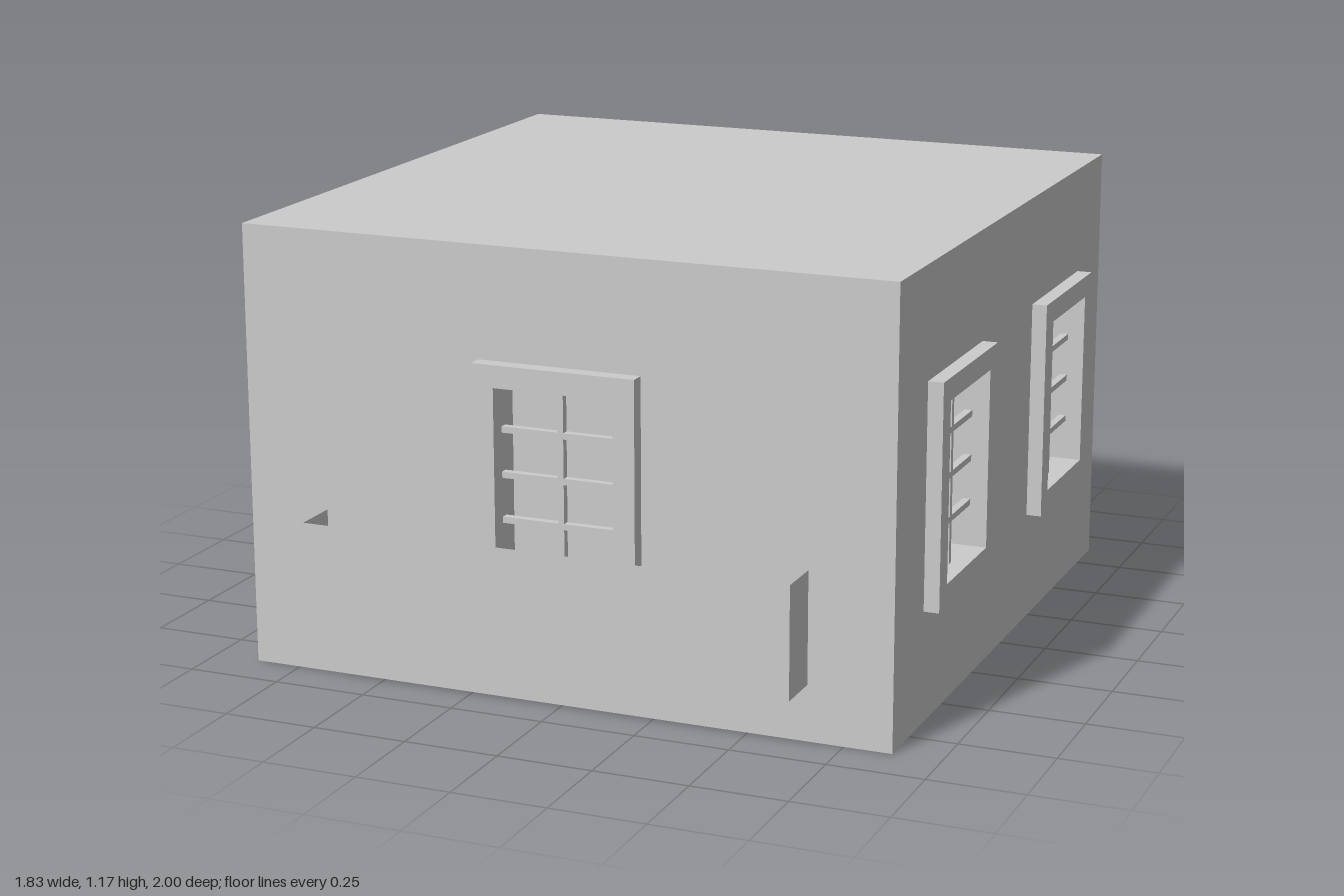
import * as THREE from 'three';

const HALF = 0.875, HEIGHT = 1.166;      // square block
const FRAME_W = 0.436, FRAME_H = 0.583;  // window surround
const OPEN_W = 0.32, OPEN_H = 0.467;     // window opening
const WINDOW_Y = 0.584, PROUD = 0.04, RECESS = 0.07;

const material = new THREE.MeshStandardMaterial({ color: 0xcccccc, side: THREE.DoubleSide });

function add(parent, name, geometry, x = 0, y = 0, z = 0) {
  const mesh = new THREE.Mesh(geometry, material);
  mesh.name = name;
  mesh.position.set(x, y, z);
  parent.add(mesh);
  return mesh;
}

// Rectangle outline centred on (x, y)
function rect(Type, w, h, x = 0, y = 0) {
  return new Type([[-1, -1], [1, -1], [1, 1], [-1, 1]].map(
    ([sx, sy]) => new THREE.Vector2(x + sx * w / 2, y + sy * h / 2)));
}

// Recessed window: surround, pane and glazing bars, with z = 0 on the wall face
function makeWindow() {
  const group = new THREE.Group();
  group.name = 'window';
  const outline = rect(THREE.Shape, FRAME_W, FRAME_H);
  outline.holes.push(rect(THREE.Path, OPEN_W, OPEN_H));
  add(group, 'windowFrame', new THREE.ExtrudeGeometry(outline,
    { depth: PROUD + RECESS, bevelEnabled: false }), 0, 0, -RECESS);
  add(group, 'windowPane', new THREE.PlaneGeometry(OPEN_W, OPEN_H), 0, 0, -RECESS);
  add(group, 'verticalBar', new THREE.BoxGeometry(0.016, OPEN_H, 0.02), 0, 0, -0.015);
  for (const i of [-1, 0, 1]) {
    add(group, 'horizontalBar', new THREE.BoxGeometry(OPEN_W, 0.016, 0.02), 0, i * OPEN_H / 4, -0.015);
  }
  return group;
}

// Open-topped balcony made of thin sheets
function makeBalcony() {
  const group = new THREE.Group();
  group.name = 'balcony';
  const w = 1.31, h = 0.292, d = 0.125, y = 0.146;
  add(group, 'balconyFront', new THREE.PlaneGeometry(w, h), 0, y + h / 2, d);
  add(group, 'balconyFloor', new THREE.PlaneGeometry(w, d), 0, y, d / 2).rotation.x = Math.PI / 2;
  for (const s of [-1, 1]) {
    add(group, 'balconySide', new THREE.PlaneGeometry(d, h), s * w / 2, y + h / 2, d / 2)
      .rotation.y = s * Math.PI / 2;
  }
  return group;
}

// One wall with its windows, facing +z before it is turned
function makeSide(name, windowXs, hasBalcony) {
  const group = new THREE.Group();
  group.name = name;
  const wall = rect(THREE.Shape, HALF * 2, HEIGHT, 0, HEIGHT / 2);
  for (const x of windowXs) {
    wall.holes.push(rect(THREE.Path, OPEN_W, OPEN_H, x, WINDOW_Y));
    const win = makeWindow();
    win.position.set(x, WINDOW_Y, HALF);
    group.add(win);
  }
  add(group, 'wall', new THREE.ShapeGeometry(wall), 0, 0, HALF);
  if (hasBalcony) {
    const balcony = makeBalcony();
    balcony.position.z = HALF;
    group.add(balcony);
  }
  return group;
}

export function createModel() {
  const model = new THREE.Group();
  model.name = 'buildingFloor';

  // Four sides: balconies front and back, paired windows left and right
  ['frontSide', 'leftSide', 'backSide', 'rightSide'].forEach((name, i) => {
    const hasBalcony = i % 2 === 0;
    const side = makeSide(name, hasBalcony ? [0] : [-0.437, 0.437], hasBalcony);
    side.rotation.y = i * Math.PI / 2;
    model.add(side);
  });

  // Flat roof and underside
  add(model, 'roof', new THREE.PlaneGeometry(HALF * 2, HALF * 2), 0, HEIGHT, 0).rotation.x = -Math.PI / 2;
  add(model, 'underside', new THREE.PlaneGeometry(HALF * 2, HALF * 2)).rotation.x = Math.PI / 2;
  return model;
}
